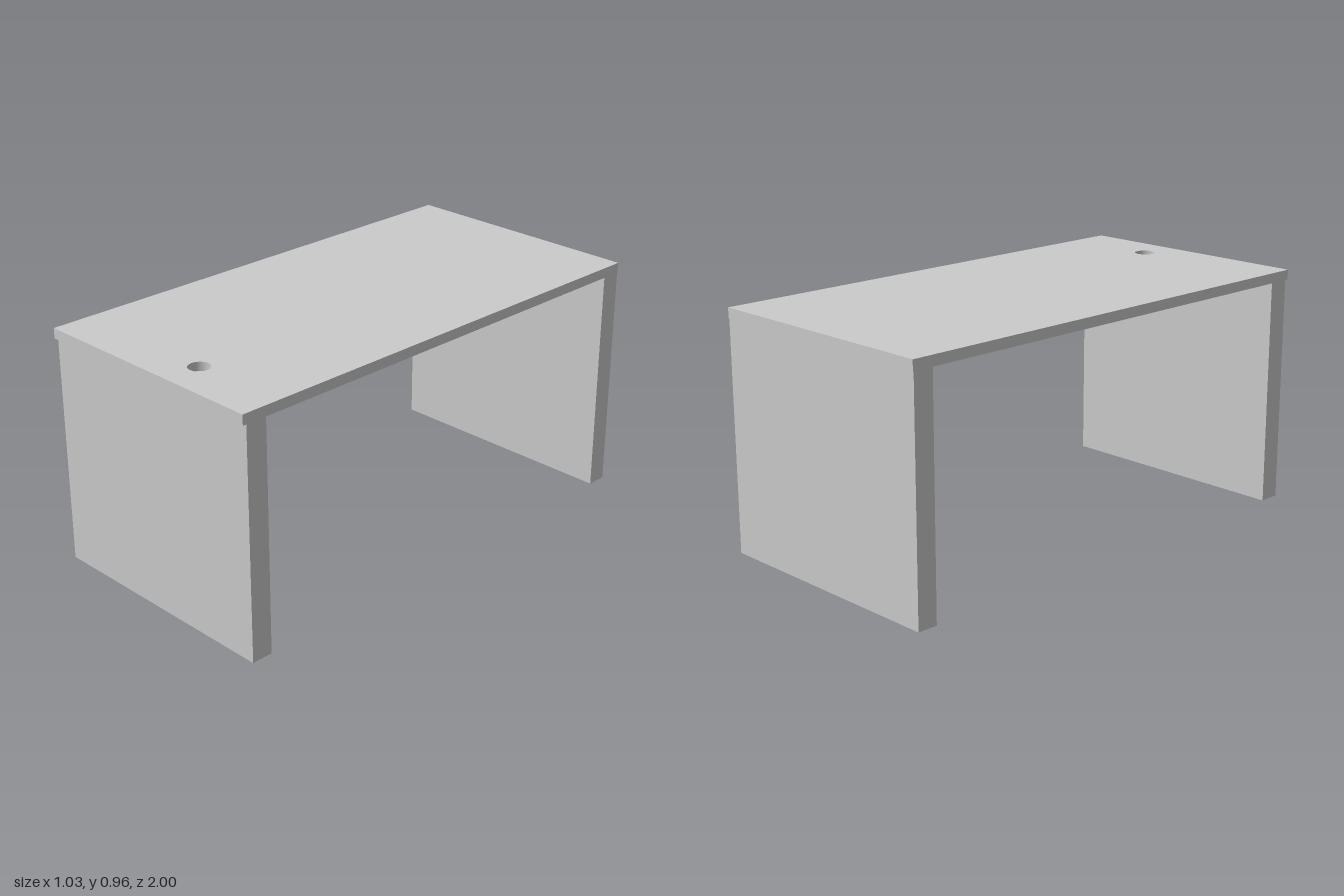
import * as THREE from 'three';

const WIDTH = 1.03, TOP_Y = 0.963, UNDER_Y = 0.922;
const HOLE = { x: 0.122, z: 0.85, r: 0.042 };

export function createModel() {
  const group = new THREE.Group();
  const material = new THREE.MeshStandardMaterial({ color: 0xcccccc });

  const add = (name, geometry) => {
    const mesh = new THREE.Mesh(geometry, material);
    mesh.name = name;
    group.add(mesh);
    return mesh;
  };
  // Box given by its lower and upper limits on each axis
  const box = (name, [x0, x1], [y0, y1], [z0, z1]) =>
    add(name, new THREE.BoxGeometry(x1 - x0, y1 - y0, z1 - z0))
      .position.set((x0 + x1) / 2, (y0 + y1) / 2, (z0 + z1) / 2);

  // Desk top with a round cable hole; shape y becomes -z once laid flat
  const h = WIDTH / 2;
  const outline = new THREE.Shape([
    new THREE.Vector2(-h, -1), new THREE.Vector2(h, -1),
    new THREE.Vector2(h, 1), new THREE.Vector2(-h, 1),
  ]);
  outline.holes.push(new THREE.Path().absarc(HOLE.x, -HOLE.z, HOLE.r, 0, Math.PI * 2, true));
  const slab = new THREE.ExtrudeGeometry(outline, {
    depth: TOP_Y - UNDER_Y, bevelEnabled: false, curveSegments: 16,
  });
  slab.rotateX(-Math.PI / 2).translate(0, UNDER_Y, 0);
  add('deskTop', slab);

  // Floor closing the hole at the underside
  add('holeFloor', new THREE.CylinderGeometry(HOLE.r, HOLE.r, 0.006, 32))
    .position.set(HOLE.x, UNDER_Y + 0.003, HOLE.z);

  // Full-width panel legs, the front one set back under the top
  box('frontLeg', [-h, h], [0, UNDER_Y], [0.898, 0.985]);
  box('backLeg', [-h, h], [0, UNDER_Y], [-0.997, -0.914]);

  // Small block under the cable hole, against the front leg
  box('cableBlock', [0.073, 0.171], [0.855, UNDER_Y], [0.823, 0.898]);

  return group;
}
